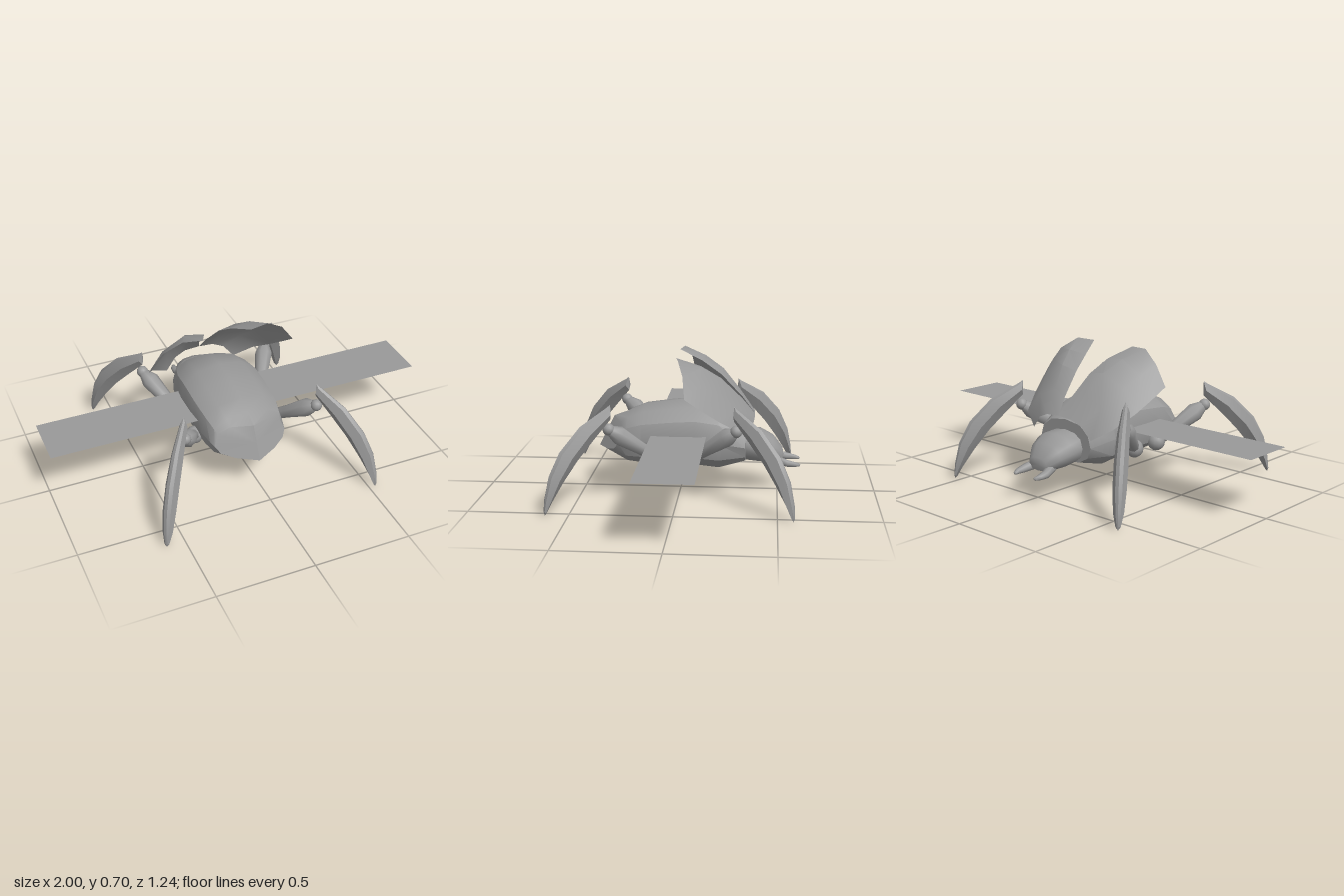
import * as THREE from 'three';
import { toCreasedNormals } from 'three/addons/utils/BufferGeometryUtils.js';

const material = new THREE.MeshStandardMaterial({ color: 0x999999 });
const thinMaterial = new THREE.MeshStandardMaterial({ color: 0x999999, side: THREE.DoubleSide });
const V = (x, y, z) => new THREE.Vector3(x, y, z);

function mesh(name, geometry, mat = material) {
  const m = new THREE.Mesh(geometry, mat);
  m.name = name;
  return m;
}

// Skin a list of point rows; closed rows wrap round. Empty triangles are skipped.
function loft(rows, closed = true, crease = 0.6) {
  const pos = [];
  const n = rows[0].length;
  const tri = (a, b, c) => {
    const area = b.clone().sub(a).cross(c.clone().sub(a)).length();
    if (area > 1e-8) for (const p of [a, b, c]) pos.push(p.x, p.y, p.z);
  };
  for (let i = 0; i < rows.length - 1; i++) {
    for (let j = 0; j < (closed ? n : n - 1); j++) {
      const k = (j + 1) % n;
      const a = rows[i][j], b = rows[i][k], c = rows[i + 1][j], d = rows[i + 1][k];
      tri(a, c, b);
      tri(b, c, d);
    }
  }
  const g = new THREE.BufferGeometry();
  g.setAttribute('position', new THREE.Float32BufferAttribute(pos, 3));
  return toCreasedNormals(g, crease);
}

// Rounded cross-section: z, top, bottom, widest height, half width, centre x
function ring([z, top, bottom, mid, half, cx = 0], sides = 12) {
  const soft = (v) => Math.sign(v) * Math.pow(Math.abs(v), 0.85);
  return Array.from({ length: sides }, (_, j) => {
    const a = (j / sides) * Math.PI * 2;
    const c = soft(Math.cos(a)), s = soft(Math.sin(a));
    return V(cx + half * c, mid + s * (s > 0 ? top - mid : mid - bottom), z);
  });
}

function makeBody() {
  const rows = [
    [0.39, 0.29, 0.29, 0.29, 0],
    [0.39, 0.37, 0.21, 0.265, 0.19],
    [0.27, 0.4, 0.145, 0.27, 0.2],
    [0.19, 0.435, 0.135, 0.28, 0.217],
    [0.05, 0.455, 0.13, 0.29, 0.225],
    [-0.08, 0.47, 0.13, 0.29, 0.225],
    [-0.2, 0.445, 0.115, 0.28, 0.215],
    [-0.335, 0.37, 0.155, 0.25, 0.17],
    [-0.335, 0.25, 0.25, 0.25, 0],
  ].map((r) => ring(r));
  // Rear face: pointed in plan, leaning forward towards its top
  for (const p of rows[1]) p.z = 0.43 - 0.5 * Math.abs(p.x) - 0.5 * (p.y - 0.21);
  return mesh('body', loft(rows));
}

function makeHead() {
  const head = new THREE.Group();
  head.name = 'head';
  head.add(mesh('skull', loft([
    [-0.32, 0.32, 0.155, 0.24, 0.115],
    [-0.41, 0.312, 0.148, 0.23, 0.127],
    [-0.475, 0.278, 0.145, 0.21, 0.103],
    [-0.525, 0.215, 0.15, 0.18, 0.06],
    [-0.53, 0.18, 0.18, 0.18, 0],
  ].map((r) => ring(r)), true, 0.9)));
  // Curved mandibles: z, y, x, radius
  for (const s of [1, -1]) {
    head.add(mesh('mandible', loft([
      [-0.47, 0.165, 0.045, 0.026],
      [-0.52, 0.158, 0.065, 0.026],
      [-0.55, 0.15, 0.074, 0.023],
      [-0.59, 0.145, 0.075, 0.016],
      [-0.612, 0.142, 0.069, 0.01],
      [-0.618, 0.142, 0.067, 0],
    ].map(([z, y, x, r]) => ring([z, y + r * 0.8, y - r * 0.8, y, r, s * x], 8)), true, 1)));
  }
  return head;
}

// Raised wing case: rows run hinge to tip, points run inner to outer edge
function makeWingCase(s) {
  const rows = [
    [[0, 0.395, -0.38], [0.08, 0.39, -0.38], [0.14, 0.365, -0.372], [0.195, 0.3, -0.36]],
    [[0.02, 0.475, -0.315], [0.1, 0.5, -0.3], [0.21, 0.46, -0.3], [0.29, 0.36, -0.31]],
    [[0.045, 0.585, -0.205], [0.14, 0.602, -0.21], [0.26, 0.54, -0.2], [0.343, 0.428, -0.205]],
    [[0.075, 0.65, -0.105], [0.18, 0.662, -0.115], [0.297, 0.6, -0.115], [0.373, 0.488, -0.12]],
    [[0.13, 0.7, 0.017], [0.23, 0.703, 0], [0.324, 0.642, -0.03], [0.396, 0.543, -0.045]],
  ].map((row) => row.map(([x, y, z]) => V(s * x, y, z)));
  if (s > 0) rows.forEach((row) => row.reverse());
  return mesh(s > 0 ? 'leftWingCase' : 'rightWingCase', loft(rows, false), thinMaterial);
}

function makeLeg(sx, sz) {
  const leg = new THREE.Group();
  leg.name = (sz > 0 ? 'rear' : 'front') + (sx > 0 ? 'LeftLeg' : 'RightLeg');
  const hip = V(sx * 0.22, 0.205, sz * 0.085);
  const knee = V(sx * 0.352, 0.38, sz * 0.312);

  for (const [name, p, r] of [['hipJoint', hip, 0.046], ['kneeJoint', knee, 0.03]]) {
    const ball = mesh(name, new THREE.SphereGeometry(r, 12, 8));
    ball.position.copy(p);
    leg.add(ball);
  }

  // Thigh, flaring towards the knee
  const dir = knee.clone().sub(hip);
  const L = dir.length();
  const profile = [[0, 0], [0.028, 0], [0.033, 0.35], [0.047, 0.8], [0.026, 0.97], [0, 1]];
  const thigh = mesh('thigh', toCreasedNormals(new THREE.LatheGeometry(
    profile.map(([r, t]) => new THREE.Vector2(r, t * L)), 8), 0.9));
  thigh.position.copy(hip);
  thigh.quaternion.setFromUnitVectors(V(0, 1, 0), dir.normalize());
  leg.add(thigh);

  // Blade-like shin: inner edge (z, y), outer edge (z, y), half width
  const section = [[0, 0], [0.45, 1], [0.9, 0.5], [1, 0], [0.9, -0.5], [0.45, -1]];
  const stretch = 0.358 / 0.29;
  const rows = [
    [0.32, 0.505, 0.32, 0.505, 0],
    [0.32, 0.43, 0.335, 0.492, 0.02],
    [0.39, 0.345, 0.455, 0.413, 0.03],
    [0.465, 0.25, 0.545, 0.3, 0.034],
    [0.53, 0.15, 0.592, 0.19, 0.033],
    [0.578, 0.065, 0.612, 0.08, 0.025],
    [0.605, 0.01, 0.617, 0.02, 0.012],
    [0.613, 0, 0.613, 0, 0],
  ].map(([iz, iy, oz, oy, w]) => section.map(([f, k]) =>
    V((iz + (oz - iz) * f - 0.32) * stretch, iy + (oy - iy) * f, k * w)));
  const shin = mesh('shin', loft(rows, true, 0.4));
  shin.position.set(sx * 0.352, 0, sz * 0.302);
  shin.rotation.y = Math.atan2(-sz * 0.29, sx * 0.21);
  leg.add(shin);
  return leg;
}

export function createModel() {
  const model = new THREE.Group();
  model.name = 'beetle';

  const insect = new THREE.Group();
  insect.name = 'insect';
  insect.position.x = -0.03;
  insect.add(makeBody(), makeHead(), makeWingCase(1), makeWingCase(-1));

  const legs = new THREE.Group();
  legs.name = 'legs';
  legs.position.z = 0.018;
  for (const sx of [1, -1]) for (const sz of [1, -1]) legs.add(makeLeg(sx, sz));
  insect.add(legs);
  model.add(insect);

  // Flat flight wings, one thin sheet through the body
  const wings = mesh('flightWings', new THREE.PlaneGeometry(2, 0.28), thinMaterial);
  wings.rotation.x = -Math.PI / 2;
  wings.position.y = 0.315;
  model.add(wings);
  return model;
}
